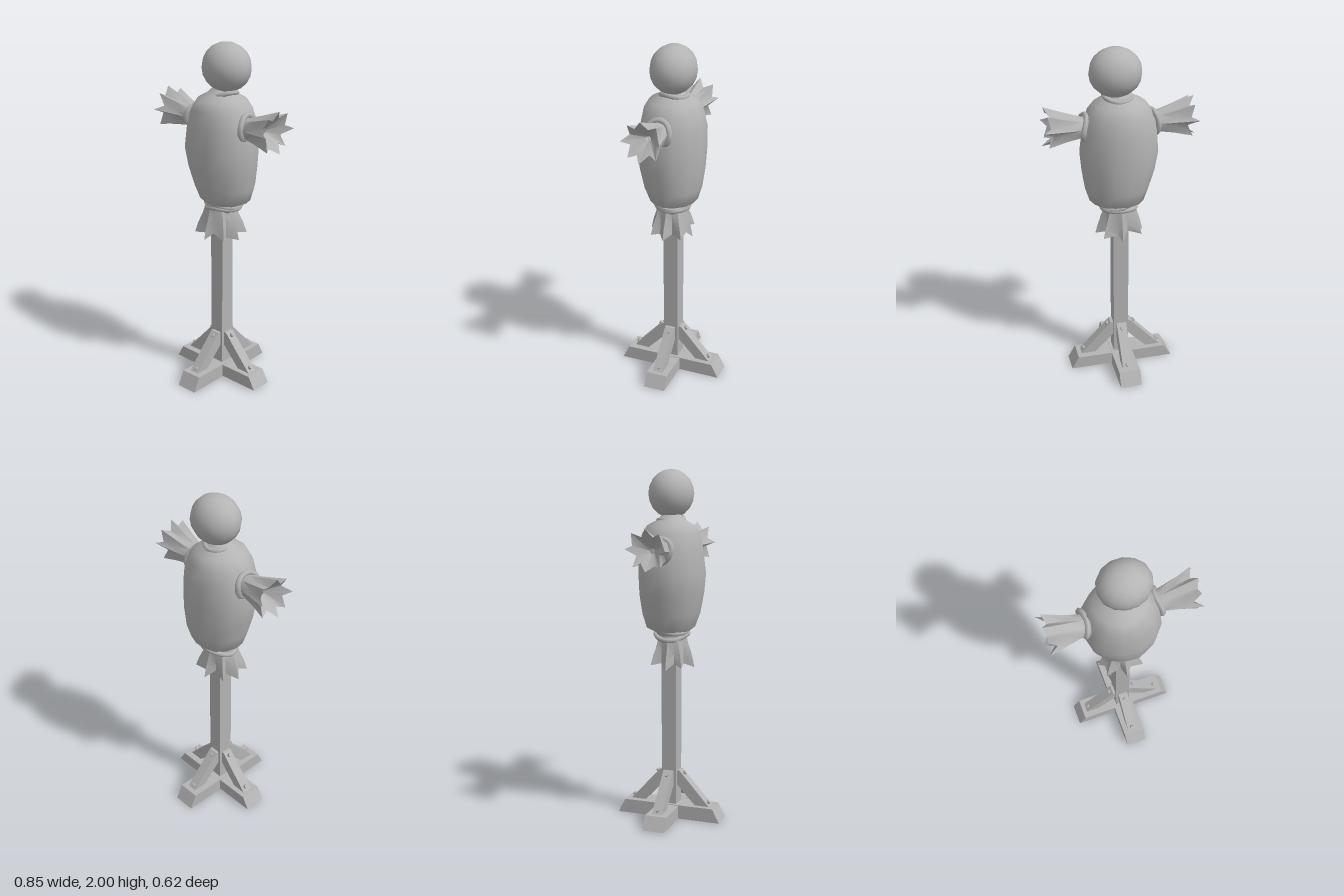
import * as THREE from 'three';
import { toCreasedNormals } from 'three/addons/utils/BufferGeometryUtils.js';

const grey = new THREE.MeshStandardMaterial({ color: 0xb4b4b4 });
grey.name = 'plain grey';
const cloth = new THREE.MeshStandardMaterial({ color: 0xb4b4b4, side: THREE.DoubleSide });
cloth.name = 'grey cloth';

function add(parent, name, geometry, material = grey) {
  const mesh = new THREE.Mesh(geometry, material);
  mesh.name = name;
  parent.add(mesh);
  return mesh;
}

// Skin over closed rings of [x, y, z] points
function loft(rings, flip, crease) {
  const n = rings[0].length, index = [];
  for (let i = 0; i < rings.length - 1; i++) {
    for (let j = 0; j < n; j++) {
      const a = i * n + j, b = i * n + (j + 1) % n, c = a + n, d = b + n;
      if (flip) index.push(a, b, c, b, d, c);
      else index.push(a, c, b, b, c, d);
    }
  }
  const g = new THREE.BufferGeometry();
  g.setAttribute('position', new THREE.Float32BufferAttribute(rings.flat(2), 3));
  g.setIndex(index);
  g.computeVertexNormals();
  return crease ? toCreasedNormals(g, crease) : g;
}

// Uneven rope loop lying in the xz plane
function rope(rx, rz, tube, phase) {
  const pts = [];
  for (let i = 0; i < 14; i++) {
    const a = i / 14 * Math.PI * 2;
    const k = 1 + 0.04 * Math.sin(3 * a + phase);
    pts.push(new THREE.Vector3(Math.cos(a) * rx * k, 0.008 * Math.sin(2 * a + phase), Math.sin(a) * rz * k));
  }
  return new THREE.TubeGeometry(new THREE.CatmullRomCurve3(pts, true), 28, tube, 6, true);
}

// Gathered cloth: folds grow deeper and the hem more jagged towards the open end.
// Each section is [distance, radius, fold depth, hem raggedness]
const folds = [1, 0.3, 0.95, 0.35, 0.85, 0.1, 1.05, 0.45, 0.9, 0.2, 1, 0.1, 0.8, 0.4, 1.1, 0.25];
function ruffle(sections, place, flip) {
  const rings = sections.map(([t, r, depth, rag]) => folds.map((f, j) => {
    const a = (j + 0.25 * Math.sin(j * 2.3)) / folds.length * Math.PI * 2;
    const radius = r * (1 - depth * (1 - f));
    return place(t + rag * (f - 0.6) + rag * 0.4 * Math.sin(j * 1.7), Math.cos(a) * radius, Math.sin(a) * radius);
  }));
  return loft(rings, flip, 0.9);
}

function extrude(points, depth) {
  const shape = new THREE.Shape(points.map(([x, y]) => new THREE.Vector2(x, y)));
  return new THREE.ExtrudeGeometry(shape, { depth, bevelEnabled: false }).translate(0, 0, -depth / 2);
}

function buildStand() {
  const stand = new THREE.Group();
  stand.name = 'stand';
  add(stand, 'post', new THREE.BoxGeometry(0.088, 1.1, 0.088).translate(0, 0.555, 0));

  // Crossed feet with sloping ends
  for (const [i, top] of [0.078, 0.081].entries()) {
    const foot = add(stand, 'foot', extrude([[-0.31, 0.003 * (1 - i)], [0.31, 0.003 * (1 - i)], [0.268, top], [-0.268, top]], 0.127));
    foot.rotation.y = i * Math.PI / 2 + 0.02;
  }

  // Four bolted braces
  for (let i = 0; i < 4; i++) {
    const brace = new THREE.Group();
    brace.name = 'brace';
    brace.rotation.y = i * Math.PI / 2;
    add(brace, 'strut', extrude([[0.04, 0.2], [0.16, 0.075], [0.245, 0.075], [0.06, 0.28], [0.04, 0.28]], 0.058));
    for (const [x, y] of [[0.078, 0.26], [0.226, 0.098]]) {
      const bolt = add(brace, 'bolt', toCreasedNormals(new THREE.CylinderGeometry(0.011, 0.014, 0.026, 6), 0.5));
      bolt.position.set(x, y, 0);
      bolt.rotation.z = -0.84;
    }
    stand.add(brace);
  }
  return stand;
}

export function createModel() {
  const model = new THREE.Group();
  model.name = 'trainingDummy';
  model.add(buildStand());

  // Stuffed sack body: [y, centre x, centre z, radius x, radius z]
  const body = [
    [1.04, 0.01, 0, 0.07, 0.07], [1.09, 0.01, 0, 0.1, 0.09],
    [1.12, 0.015, -0.01, 0.155, 0.135], [1.2, 0.015, -0.008, 0.18, 0.163],
    [1.31, 0.008, -0.003, 0.205, 0.182], [1.42, 0.004, 0.002, 0.221, 0.191],
    [1.55, 0.004, -0.004, 0.209, 0.184], [1.64, 0.002, 0, 0.178, 0.165],
    [1.69, 0, 0, 0.14, 0.135], [1.72, 0, 0, 0.085, 0.08], [1.75, 0, 0, 0.05, 0.05],
  ].map(([y, cx, cz, rx, rz], i) => Array.from({ length: 14 }, (_, j) => {
    const a = j / 14 * Math.PI * 2;
    const k = 1 + 0.02 * Math.sin(j * 2.1 + i * 0.7);
    return [cx + Math.cos(a) * rx * k, y, cz + Math.sin(a) * rz * k];
  }));
  add(model, 'body', loft(body, false), cloth);

  // Head and the cord under it
  const head = add(model, 'head', new THREE.SphereGeometry(1, 14, 10));
  head.scale.set(0.145, 0.135, 0.128);
  head.position.set(0.024, 1.865, -0.011);
  const collar = add(model, 'neckRope', rope(0.075, 0.07, 0.014, 1));
  collar.position.set(0.01, 1.722, -0.005);
  collar.rotation.z = 0.1;

  // Waist ropes and ragged skirt
  for (const [y, tilt] of [[1.092, -0.08], [1.07, 0.1]]) {
    const waist = add(model, 'waistRope', rope(0.1, 0.092, 0.014, y * 40));
    waist.position.set(0.01, y, -0.003);
    waist.rotation.z = tilt;
  }
  add(model, 'skirt', ruffle(
    [[0, 0.085, 0.1, 0], [0.05, 0.1, 0.25, 0], [0.11, 0.126, 0.42, 0.015], [0.165, 0.143, 0.5, 0.035], [0.08, 0.05, 0.1, 0]],
    (t, u, v) => [u - 0.003, 1.075 - t, v + 0.008], true), cloth);

  // Tied sleeve stumps on both sides
  for (const s of [1, -1]) {
    const arm = new THREE.Group();
    arm.name = s > 0 ? 'leftArm' : 'rightArm';
    const cord = add(arm, 'armRope', rope(0.066, 0.07, 0.016, 2));
    cord.position.set(s * 0.198, 1.563, 0.004);
    cord.rotation.z = s * (Math.PI / 2 + 0.08);
    add(arm, 'sleeve', ruffle(
      [[0.15, 0.06, 0.05, 0], [0.22, 0.066, 0.12, 0], [0.3, 0.088, 0.3, 0], [0.395, 0.122, 0.45, 0.05], [0.31, 0.015, 0, 0]],
      (t, u, v) => [s * t, 1.56 + u * 0.95 + (t - 0.2) * 0.08, 0.008 + v], s > 0), cloth);
    model.add(arm);
  }
  return model;
}
